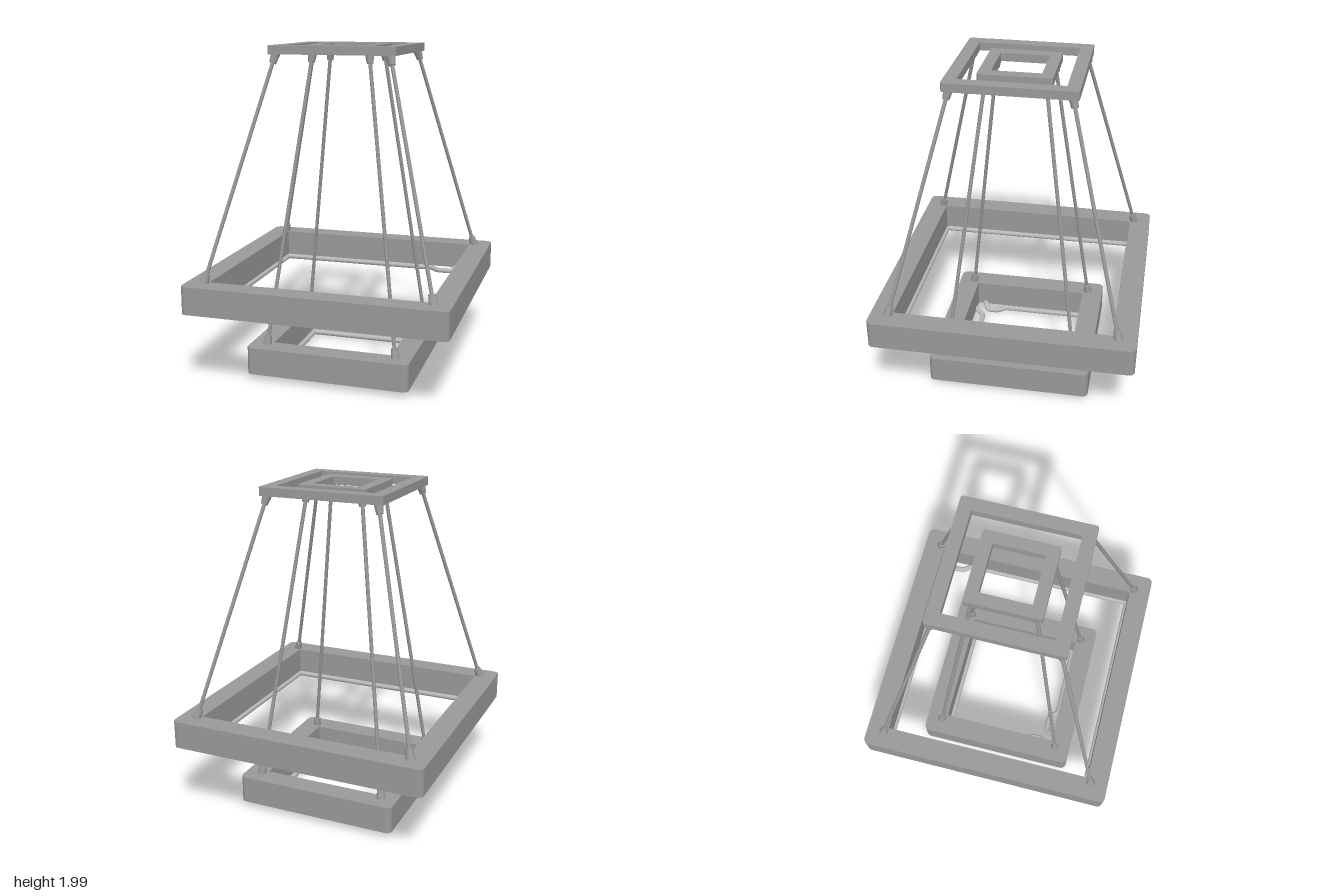
import * as THREE from 'three';

const body = new THREE.MeshStandardMaterial({ color: 0x999999 });
body.name = 'satin grey metal';
const glow = new THREE.MeshStandardMaterial({ color: 0xb8b8b8 });
glow.name = 'pale light tube';

function add(parent, name, geometry, material) {
  const mesh = new THREE.Mesh(geometry, material);
  mesh.name = name;
  parent.add(mesh);
  return mesh;
}

// square frame with rounded outer corners and a square opening
function frame(parent, name, outer, inner, y0, y1, r) {
  const s = new THREE.Shape();
  const c = outer - r;
  s.absarc(c, c, r, 0, Math.PI / 2);
  s.absarc(-c, c, r, Math.PI / 2, Math.PI);
  s.absarc(-c, -c, r, Math.PI, Math.PI * 1.5);
  s.absarc(c, -c, r, Math.PI * 1.5, Math.PI * 2);
  s.closePath();
  const hole = new THREE.Path();
  hole.moveTo(-inner, -inner);
  hole.lineTo(-inner, inner);
  hole.lineTo(inner, inner);
  hole.lineTo(inner, -inner);
  hole.closePath();
  s.holes.push(hole);
  const g = new THREE.ExtrudeGeometry(s, { depth: y1 - y0, bevelEnabled: false, curveSegments: 6 });
  g.rotateX(-Math.PI / 2);
  g.translate(0, y0, 0);
  add(parent, name, g, body);
}

// polyline with each corner rounded off
function roundedPath(points, r) {
  const path = new THREE.CurvePath();
  let from = points[0];
  for (let i = 1; i < points.length - 1; i++) {
    const p = points[i];
    const a = p.clone().add(points[i - 1].clone().sub(p).setLength(r));
    const b = p.clone().add(points[i + 1].clone().sub(p).setLength(r));
    path.add(new THREE.LineCurve3(from, a));
    path.add(new THREE.QuadraticBezierCurve3(a, p, b));
    from = b;
  }
  path.add(new THREE.LineCurve3(from, points[points.length - 1]));
  return path;
}

// light tube around the underside, with both ends hooked up into the frame
function lightTube(parent, name, h, y, radius) {
  const v = (x, z, dy = 0) => new THREE.Vector3(x, y + dy, z);
  const pts = [
    v(h + 0.03, -h + 0.035, 0.035), v(h - 0.04, -h + 0.07), v(h - 0.04, -h + 0.14), v(h, -h + 0.19),
    v(h, h), v(-h, h), v(-h, -h),
    v(h - 0.25, -h), v(h - 0.21, -h + 0.05), v(h - 0.11, -h + 0.05), v(h - 0.06, -h - 0.03, 0.035),
  ];
  const g = new THREE.TubeGeometry(roundedPath(pts, 0.02), 320, radius, 10, false);
  return add(parent, name, g, glow);
}

const UP = new THREE.Vector3(0, 1, 0);

// tapered cylinder between two points
function rodBetween(parent, name, a, b, ra, rb, sides) {
  const d = b.clone().sub(a);
  const m = add(parent, name, new THREE.CylinderGeometry(rb, ra, d.length(), sides), body);
  m.position.copy(a).add(b).multiplyScalar(0.5);
  m.quaternion.setFromUnitVectors(UP, d.normalize());
}

// four slanting rods with a tapered socket at each end
function suspension(parent, name, low, lowY, high, highY) {
  const group = new THREE.Group();
  group.name = name;
  for (const sx of [-1, 1]) for (const sz of [-1, 1]) {
    const a = new THREE.Vector3(sx * low, lowY, sz * low);
    const b = new THREE.Vector3(sx * high, highY, sz * high);
    const dir = b.clone().sub(a).normalize();
    rodBetween(group, 'rod', a, b, 0.011, 0.011, 10);
    rodBetween(group, 'lowerSocket', a.clone().addScaledVector(dir, -0.008),
      a.clone().addScaledVector(dir, 0.055), 0.028, 0.02, 12);
    rodBetween(group, 'upperSocket', b.clone().addScaledVector(dir, -0.055),
      b.clone().addScaledVector(dir, 0.008), 0.02, 0.028, 12);
  }
  parent.add(group);
}

export function createModel() {
  const model = new THREE.Group();
  model.name = 'tieredPendantLamp';

  // ceiling mounts
  frame(model, 'outerCeilingFrame', 0.378, 0.302, 1.95, 2.0, 0.015);
  frame(model, 'innerCeilingFrame', 0.213, 0.143, 1.95, 2.0, 0.015);

  // light rings
  frame(model, 'upperRing', 0.782, 0.65, 0.485, 0.652, 0.035);
  frame(model, 'lowerRing', 0.5, 0.368, 0.045, 0.212, 0.035);

  // light tubes, the lower one turned half round
  lightTube(model, 'upperLightTube', 0.65, 0.471, 0.017);
  lightTube(model, 'lowerLightTube', 0.362, 0.027, 0.017).rotation.y = Math.PI;

  // rods
  suspension(model, 'upperRingRods', 0.675, 0.652, 0.34, 1.95);
  suspension(model, 'lowerRingRods', 0.4, 0.212, 0.172, 1.95);

  // set the lowest point on the ground
  const box = new THREE.Box3().setFromObject(model, true);
  model.children.forEach((c) => { c.position.y -= box.min.y; });
  return model;
}
